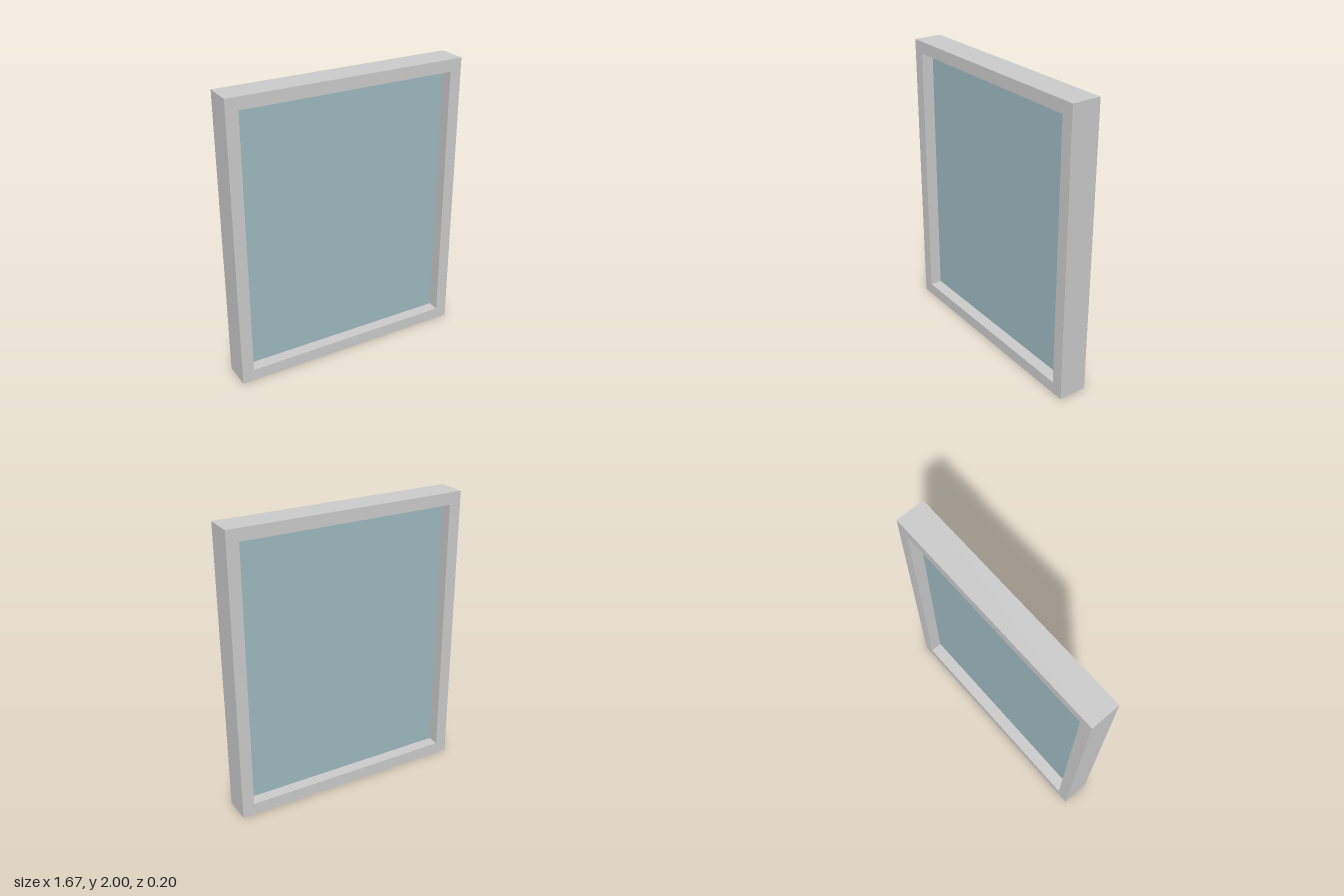
import * as THREE from 'three';

const WIDTH = 1.666, HEIGHT = 2, DEPTH = 0.2, BORDER = 0.083, PANE_DEPTH = 0.033;

// Rectangle outline centred on x, standing on y = 0, inset by a margin
function rectangle(target, inset) {
  const x = WIDTH / 2 - inset, top = HEIGHT - inset;
  target.moveTo(-x, inset);
  target.lineTo(x, inset);
  target.lineTo(x, top);
  target.lineTo(-x, top);
  target.closePath();
  return target;
}

export function createModel() {
  const group = new THREE.Group();
  group.name = 'window';

  // Frame: one extruded outline with a rectangular opening
  const outline = rectangle(new THREE.Shape(), 0);
  outline.holes.push(rectangle(new THREE.Path(), BORDER));
  const frameGeometry = new THREE.ExtrudeGeometry(outline, { depth: DEPTH, bevelEnabled: false });
  frameGeometry.translate(0, 0, -DEPTH / 2);
  const frame = new THREE.Mesh(frameGeometry, new THREE.MeshStandardMaterial({ color: 0xcccccc }));
  frame.name = 'frame';

  // Glass pane: thin slab centred in the depth of the frame
  const pane = new THREE.Mesh(
    new THREE.BoxGeometry(WIDTH - 2 * BORDER, HEIGHT - 2 * BORDER, PANE_DEPTH),
    new THREE.MeshStandardMaterial({ color: 0x9ebac0 })
  );
  pane.name = 'glassPane';
  pane.position.y = HEIGHT / 2;

  group.add(frame, pane);
  return group;
}
